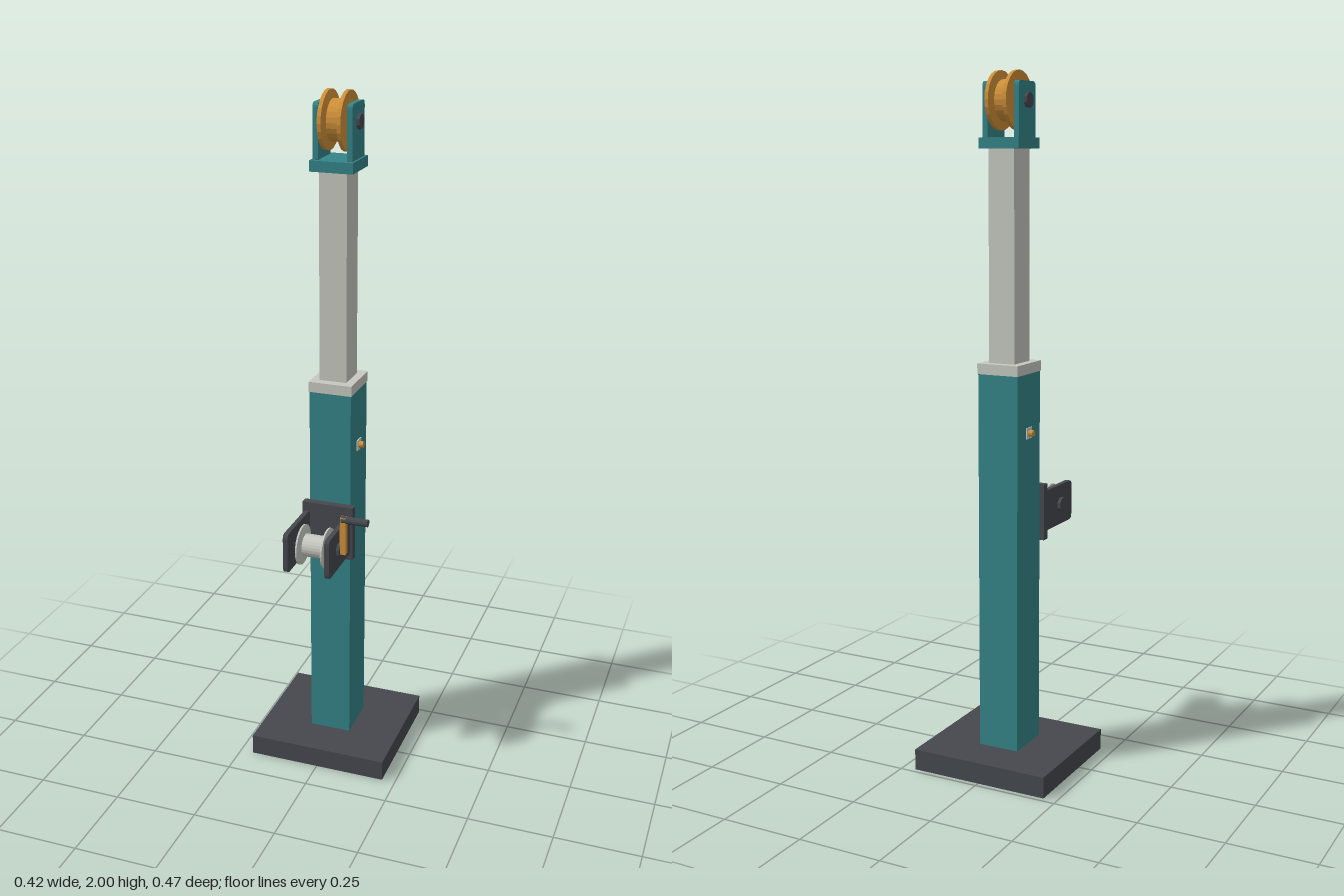
import * as THREE from 'three';

const mat = (name, color) => {
  const m = new THREE.MeshStandardMaterial({ color });
  m.name = name;
  return m;
};

export function createModel() {
  const model = new THREE.Group();
  model.name = 'mastWinch';
  const teal = mat('tealPaint', 0x348488);
  const dark = mat('darkSteel', 0x45484e);
  const light = mat('lightSteel', 0xc6c8c0);
  const orange = mat('orangeMetal', 0xcf9039);
  const Z = -0.04; // mast axis

  const add = (name, geo, material, x, y, z) => {
    const m = new THREE.Mesh(geo, material);
    m.name = name;
    m.position.set(x, y, z);
    model.add(m);
    return m;
  };
  // Box from its lower and upper limits on each axis
  const box = (name, material, x0, x1, y0, y1, z0, z1) =>
    add(name, new THREE.BoxGeometry(x1 - x0, y1 - y0, z1 - z0), material,
      (x0 + x1) / 2, (y0 + y1) / 2, (z0 + z1) / 2);
  const facet = (geo) => {
    const g = geo.toNonIndexed();
    g.computeVertexNormals();
    return g;
  };
  // Cylinder lying along x
  const rod = (name, material, r, x0, x1, y, z, sides = 12) => {
    const g = new THREE.CylinderGeometry(r, r, x1 - x0, sides);
    g.rotateY(Math.PI / sides).rotateZ(-Math.PI / 2);
    return add(name, facet(g), material, (x0 + x1) / 2, y, z);
  };
  // Flanged wheel turning about x: tapered rims and a narrower core
  const spool = (name, material, rim, core, outer, rimIn, coreIn, y, z) => {
    const pts = [[0, -outer + 0.004], [core, -outer + 0.004], [rim, -outer], [rim, -rimIn], [core, -coreIn],
      [core, coreIn], [rim, rimIn], [rim, outer], [core, outer - 0.004], [0, outer - 0.004]];
    const g = new THREE.LatheGeometry(pts.map(p => new THREE.Vector2(...p)), 24);
    g.rotateZ(-Math.PI / 2);
    return add(name, facet(g), material, 0, y, z);
  };
  // Plate in the y-z plane with rounded corners (radii: bottom, top), thickness x0..x1
  const plate = (name, material, x0, x1, y0, y1, z0, z1, rBottom, rTop) => {
    const s = new THREE.Shape();
    const a = -z1, b = -z0;
    s.moveTo(a + rBottom, y0);
    s.lineTo(b - rBottom, y0);
    s.quadraticCurveTo(b, y0, b, y0 + rBottom);
    s.lineTo(b, y1 - rTop);
    s.quadraticCurveTo(b, y1, b - rTop, y1);
    s.lineTo(a + rTop, y1);
    s.quadraticCurveTo(a, y1, a, y1 - rTop);
    s.lineTo(a, y0 + rBottom);
    s.quadraticCurveTo(a, y0, a + rBottom, y0);
    const g = new THREE.ExtrudeGeometry(s, { depth: x1 - x0, bevelEnabled: false, curveSegments: 4 });
    g.rotateY(Math.PI / 2);
    return add(name, g, material, x0, 0, 0);
  };

  // Base and telescoping mast
  box('basePlate', dark, -0.21, 0.21, 0, 0.062, -0.235, 0.155);
  box('lowerColumn', teal, -0.062, 0.062, 0.062, 1.167, Z - 0.07, Z + 0.07);
  box('collar', light, -0.064, 0.064, 1.167, 1.197, Z - 0.072, Z + 0.072);
  box('upperColumn', light, -0.04, 0.04, 1.197, 1.79, Z - 0.046, Z + 0.046);
  box('headPlate', teal, -0.062, 0.062, 1.79, 1.82, Z - 0.063, Z + 0.063);

  // Locking pin through the lower column
  rod('lockingPin', orange, 0.0095, -0.078, 0.078, 0.997, Z);
  for (const s of [-1, 1])
    add('pinPlate', new THREE.BoxGeometry(0.004, 0.032, 0.032), light, s * 0.063, 0.997, Z);

  // Head sheave between two cheeks
  const headY = 1.92;
  spool('sheave', orange, 0.081, 0.057, 0.033, 0.022, 0.016, headY, Z);
  rod('sheaveAxle', dark, 0.011, -0.058, 0.058, headY, Z);
  for (const s of [-1, 1]) {
    const c = s * 0.0485, n = s * 0.06;
    plate('headCheek', teal, c - 0.0075, c + 0.0075, 1.82, 1.971, Z - 0.05, Z + 0.05, 0.001, 0.014);
    rod('axleNut', dark, 0.0215, n - 0.005, n + 0.005, headY, Z, 8);
  }

  // Winch frame
  const winchY = 0.748, winchZ = 0.155;
  box('winchBackPlate', dark, -0.077, 0.077, 0.667, 0.833, 0.03, 0.053);
  for (const s of [-1, 1]) {
    const c = s * 0.062, n = s * 0.0735;
    plate('winchCheek', dark, c - 0.007, c + 0.007, 0.688, 0.808, 0.05, 0.232, 0.015, 0.015);
    rod('winchNut', dark, 0.0215, n - 0.005, n + 0.005, winchY, winchZ, 8);
  }

  // Drum, shaft and crank
  spool('winchDrum', light, 0.059, 0.033, 0.04, 0.035, 0.03, winchY, winchZ);
  rod('winchShaft', dark, 0.008, -0.075, 0.08, winchY, winchZ);
  box('crankArm', orange, 0.077, 0.094, 0.739, 0.853, winchZ - 0.009, winchZ + 0.009);
  rod('crankHandle', dark, 0.011, 0.08, 0.158, 0.845, winchZ);

  return model;
}
